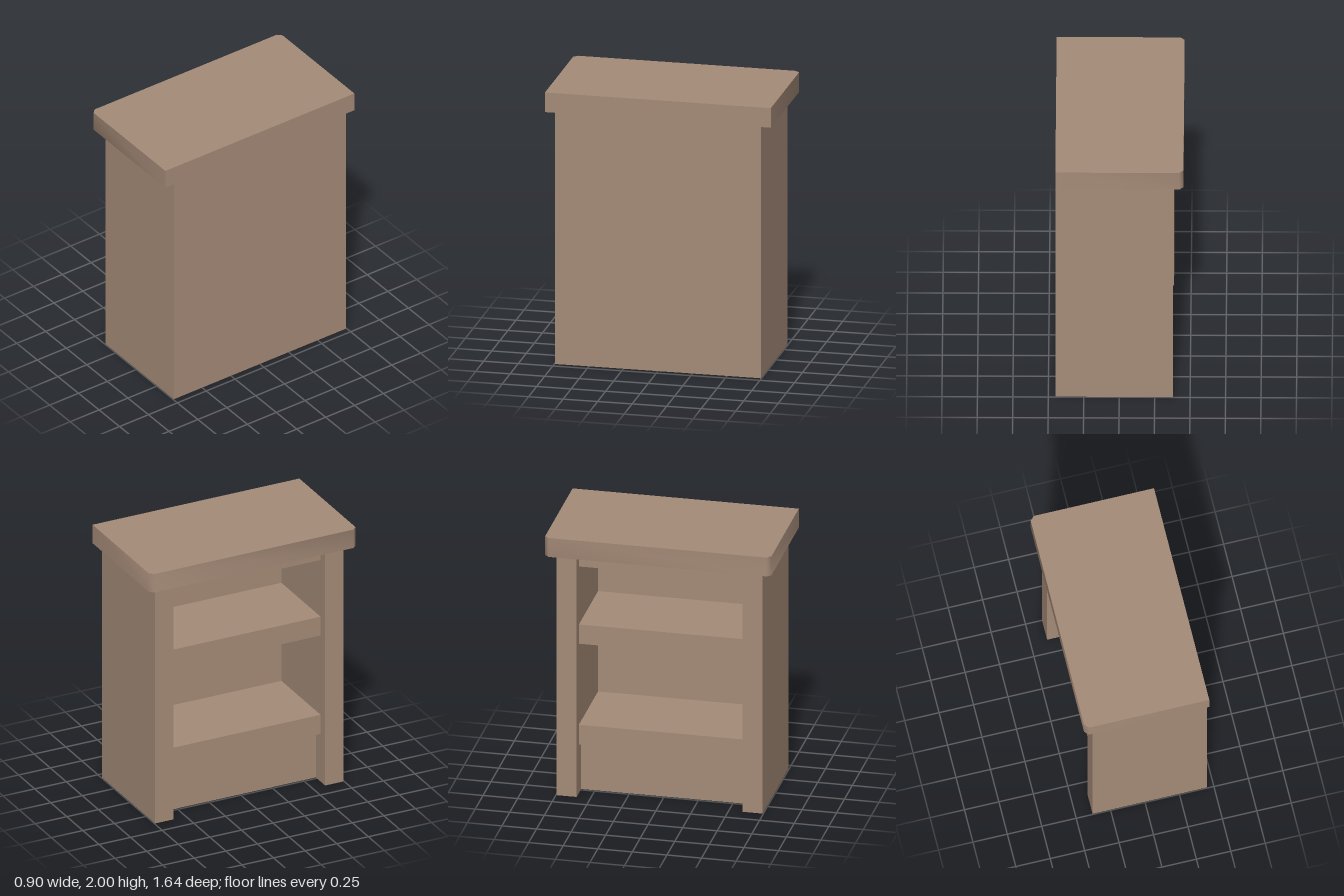
import * as THREE from 'three';
import { toCreasedNormals } from 'three/addons/utils/BufferGeometryUtils.js';

export function createModel() {
  const model = new THREE.Group();
  model.name = 'bookcase';
  const wood = new THREE.MeshStandardMaterial({ color: 0xa58b78 });
  wood.name = 'brown wood';

  const add = (name, geometry) => {
    const mesh = new THREE.Mesh(geometry, wood);
    mesh.name = name;
    model.add(mesh);
  };

  // Extrudes an outline of [x, z] points between two heights
  const slab = (points, y0, y1) => {
    const shape = new THREE.Shape(points.map(([x, z]) => new THREE.Vector2(x, z)));
    const geometry = new THREE.ExtrudeGeometry(shape, { depth: y1 - y0, bevelEnabled: false });
    return geometry.rotateX(Math.PI / 2).translate(0, y1, 0);
  };

  // Side walls and closed wall in one U-shaped carcass, open towards -x
  const outer = 0.745, inner = 0.6, open = -0.38, wall = 0.3, closed = 0.45;
  add('carcass', slab([
    [open, -outer], [closed, -outer], [closed, outer], [open, outer],
    [open, inner], [wall, inner], [wall, -inner], [open, -inner],
  ], 0, 1.855));

  // Overhanging top with softened corners on the open side
  const w = 0.453, d = 0.818, c = 0.03;
  add('top', toCreasedNormals(slab([
    [-w, -d + c], [-w + c, -d], [closed, -d], [closed, d], [-w + c, d], [-w, d - c],
  ], 1.855, 2), 1));

  // Boards between the side walls: name, open edge x, bottom y, top y
  for (const [name, x, y0, y1] of [
    ['plinth', -0.235, 0, 0.375],
    ['lowerShelf', -0.31, 0.375, 0.525],
    ['upperShelf', -0.31, 1.147, 1.295],
    ['topRail', -0.31, 1.74, 1.855],
  ]) {
    const board = new THREE.BoxGeometry(wall - x, y1 - y0, inner * 2);
    add(name, board.translate((wall + x) / 2, (y0 + y1) / 2, 0));
  }
  return model;
}
